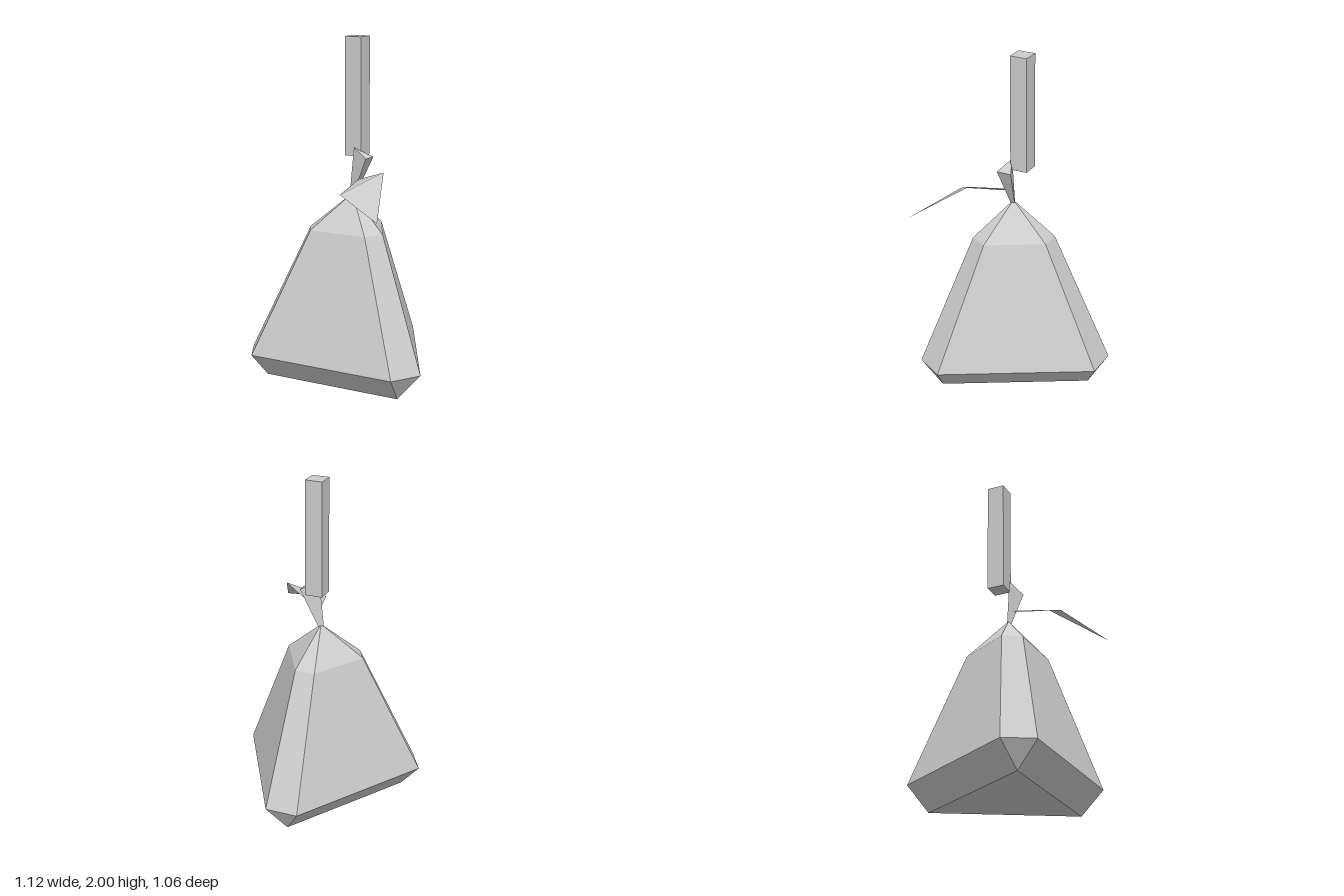
import * as THREE from 'three';

// Flat-faced solid through rings of points, each ring clockwise seen from above, bottom first
function loft(rings) {
  const out = [];
  const tri = (a, b, c) => {
    const n = b.clone().sub(a).cross(c.clone().sub(a));
    if (n.length() > 1e-7) out.push(...a, ...b, ...c);
  };
  const n = rings[0].length;
  for (let r = 0; r + 1 < rings.length; r++) {
    const lo = rings[r], hi = rings[r + 1];
    for (let i = 0; i < n; i++) {
      const j = (i + 1) % n;
      tri(lo[i], hi[i], lo[j]);
      tri(lo[j], hi[i], hi[j]);
    }
  }
  const bottom = rings[0], top = rings[rings.length - 1];
  for (let i = 1; i + 1 < n; i++) {
    tri(bottom[0], bottom[i], bottom[i + 1]);
    tri(top[0], top[i + 1], top[i]);
  }
  return fromPositions(out);
}

function fromPositions(list) {
  const geo = new THREE.BufferGeometry();
  geo.setAttribute('position', new THREE.Float32BufferAttribute(list, 3));
  geo.computeVertexNormals();
  return geo;
}

const V = (x, y, z) => new THREE.Vector3(x, y, z);

// Triangle with cut corners: d = centre to corner cut, w = half width of the cut
function cutTriangle(y, d, w) {
  const ring = [];
  for (let k = 0; k < 3; k++) {
    const a = -Math.PI / 2 + k * Math.PI * 2 / 3;
    const dx = Math.cos(a), dz = Math.sin(a);
    for (const s of [-w, w]) ring.push(V(dx * d - dz * s, y, 0.062 + dz * d + dx * s));
  }
  return ring;
}

export function createModel() {
  const group = new THREE.Group();
  const grey = new THREE.MeshStandardMaterial({ color: 0xcccccc });
  grey.name = 'pale grey';
  grey.flatShading = true;
  grey.side = THREE.DoubleSide;
  const add = (name, geo) => {
    const mesh = new THREE.Mesh(geo, grey);
    mesh.name = name;
    group.add(mesh);
    return mesh;
  };

  // Three-sided body tapering to a point
  add('body', loft([
    cutTriangle(0, 0.504, 0),
    cutTriangle(0.148, 0.592, 0.098),
    cutTriangle(0.892, 0.242, 0.06),
    cutTriangle(1.098, 0, 0),
  ]));

  // Leaning stalk that widens upward
  add('stalk', loft([
    [V(-0.017, 1.09, 0.062), V(0.012, 1.085, 0.048), V(0.012, 1.085, 0.076)],
    [V(0.012, 1.367, 0.063), V(0.115, 1.315, 0.018), V(0.115, 1.315, 0.108)],
  ]));

  // Folded leaf
  const base = V(0.025, 1.165, 0.08), neck = V(0.06, 1.19, 0.09);
  const right = V(0.28, 1.268, 0.198), left = V(0.09, 1.15, 0.358), tip = V(0.42, 1.056, 0.527);
  add('leaf', fromPositions([
    base, left, neck, neck, left, right, right, left, tip,
  ].flatMap((p) => [...p])));

  // Square post above the stalk
  add('post', new THREE.BoxGeometry(0.104, 0.685, 0.104)).position.set(0, 1.6575, 0.002);

  return group;
}
